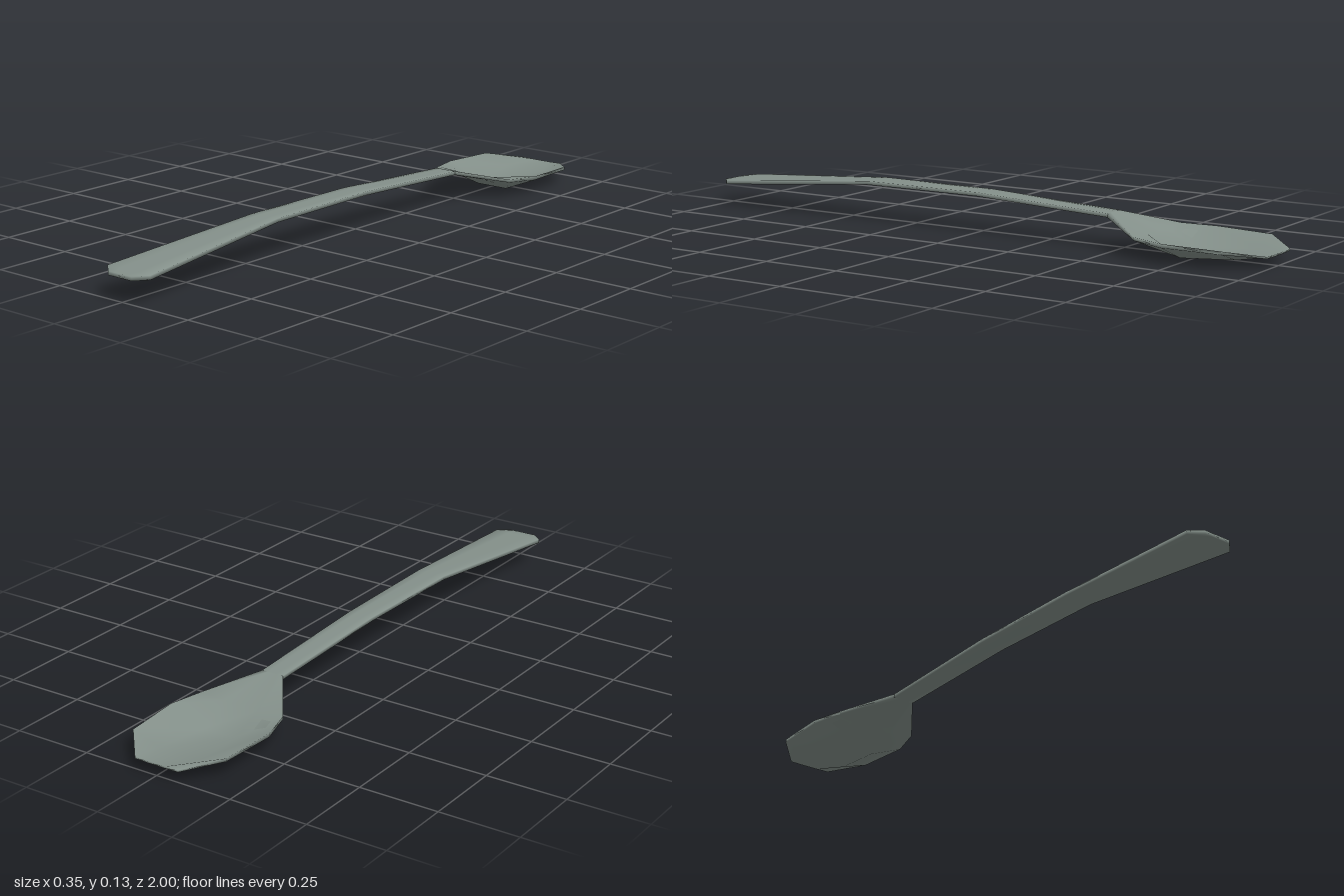
import * as THREE from 'three';

// Cross-sections: z, centre x, rim half width, floor half width, rim top y, floor top y, thickness
const handleEnd = [
  [1.0, -0.007, 0.046, 0.02, 0.08, 0.08, 0.012],
  [0.965, -0.007, 0.083, 0.035, 0.083, 0.083, 0.013],
  [0.41, -0.003, 0.048, 0.02, 0.125, 0.126, 0.012],
  [0.0, -0.003, 0.042, 0.018, 0.125, 0.126, 0.012],
  [-0.46, -0.002, 0.037, 0.016, 0.103, 0.103, 0.012],
];
const bowlSections = [
  handleEnd[handleEnd.length - 1],
  [-0.61, -0.002, 0.145, 0.06, 0.064, 0.059, 0.01],
  [-0.715, -0.001, 0.174, 0.056, 0.06, 0.012, 0.012],
  [-0.9, -0.001, 0.163, 0.07, 0.056, 0.026, 0.01],
  [-1.0, 0, 0.075, 0.03, 0.037, 0.036, 0.006],
];

// Closed thin shell: each ring has four points on top and four below
function loft(sections, capStart, capEnd) {
  const pos = [], idx = [];
  for (const [z, cx, rim, floor, rimY, floorY, t] of sections) {
    const top = [[-rim, rimY], [-floor, floorY], [floor, floorY], [rim, rimY]];
    for (const [x, y] of top) pos.push(cx + x, y, z);
    for (const [x, y] of top.reverse()) pos.push(cx + x, y - t, z);
  }
  for (let i = 0; i < sections.length - 1; i++) {
    for (let j = 0; j < 8; j++) {
      const k = (j + 1) % 8, a = i * 8 + j, b = i * 8 + k;
      idx.push(a, b, b + 8, a, b + 8, a + 8);
    }
  }
  // End caps as strips between the top and bottom rows
  const cap = (o, flip) => {
    for (let j = 0; j < 3; j++) {
      const a = o + j, b = o + j + 1, c = o + 6 - j, d = o + 7 - j;
      idx.push(...(flip ? [a, b, c, a, c, d] : [a, c, b, a, d, c]));
    }
  };
  if (capStart) cap(0, false);
  if (capEnd) cap((sections.length - 1) * 8, true);
  const g = new THREE.BufferGeometry();
  g.setAttribute('position', new THREE.Float32BufferAttribute(pos, 3));
  g.setIndex(idx);
  g.computeVertexNormals();
  return g;
}

export function createModel() {
  const group = new THREE.Group();
  group.name = 'spoon';
  const metal = new THREE.MeshStandardMaterial({ color: 0x84908a });
  metal.name = 'greyMetal';
  metal.side = THREE.DoubleSide;

  const handle = new THREE.Mesh(loft(handleEnd, true, false), metal);
  handle.name = 'handle';
  const bowl = new THREE.Mesh(loft(bowlSections, false, true), metal);
  bowl.name = 'bowl';
  group.add(handle, bowl);
  return group;
}
